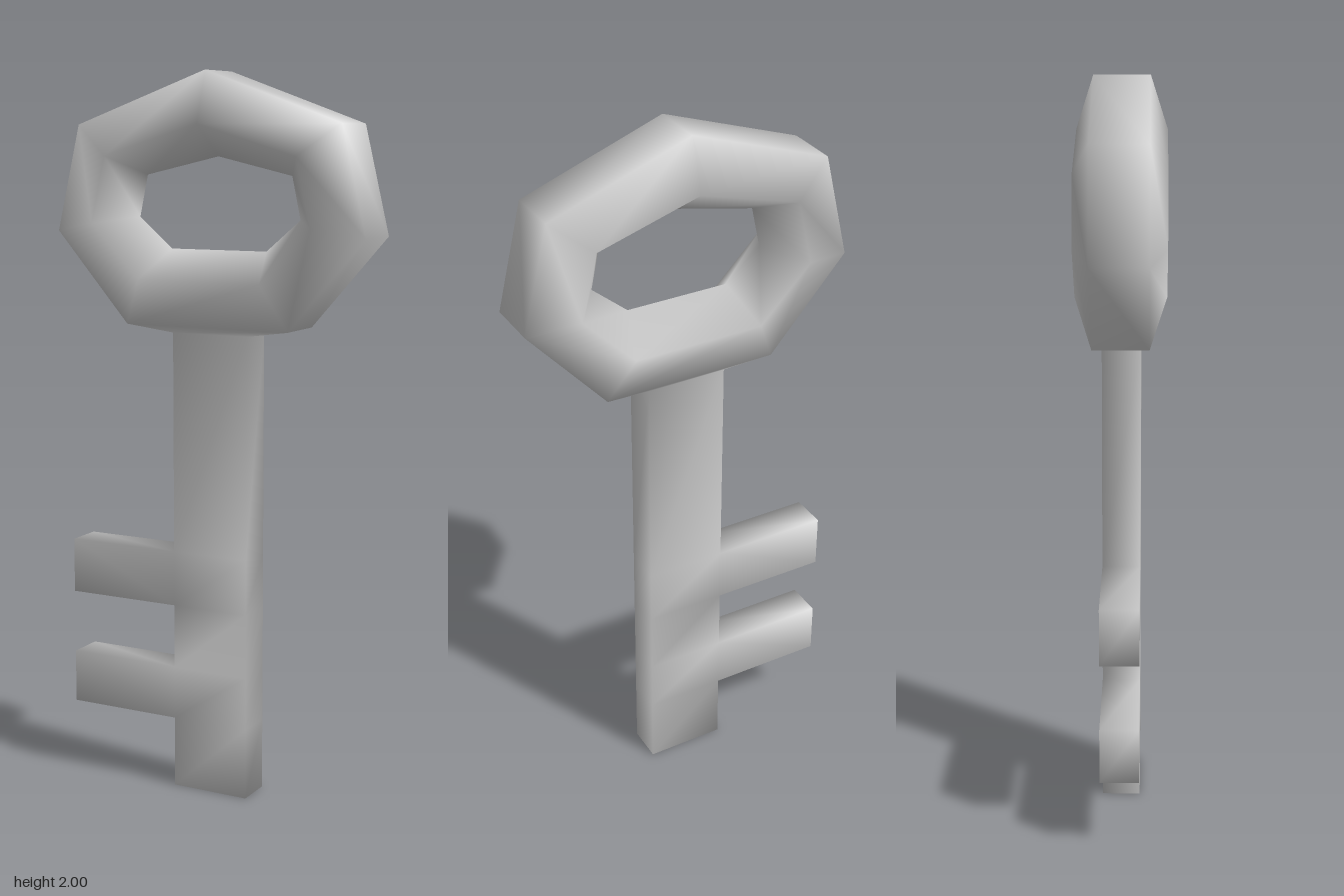
import * as THREE from 'three';
import { mergeVertices } from 'three/addons/utils/BufferGeometryUtils.js';

// The key is one welded smooth surface, cut into named parts that share normals.
export function createModel() {
  const group = new THREE.Group();
  group.name = 'key';
  const material = new THREE.MeshStandardMaterial({ color: 0xcccccc });
  const positions = [];
  const quad = (a, b, c, d) => positions.push(...a, ...b, ...c, ...a, ...c, ...d);

  // Joins two loops of equal length, leaving out the side numbered skip
  const loft = (from, to, skip = -1) => from.forEach((p, k) => {
    const n = (k + 1) % from.length;
    if (k !== skip) quad(p, from[n], to[n], to[k]);
  });

  const ranges = [];
  const part = (name, build) => {
    const start = positions.length / 3;
    build();
    ranges.push([name, start, positions.length / 3]);
  };

  const W = 0.113, D = 0.052; // half width and half depth of the shaft
  const rect = (y, hx, hz) => [[-hx, y, hz], [hx, y, hz], [hx, y, -hz], [-hx, y, -hz]];

  // Seven-sided ring with a five-sided cross-section
  part('bow', () => {
    const outer = [[0, 2], [-0.395, 1.86], [-0.465, 1.57], [-0.245, 1.32],
      [0.245, 1.32], [0.465, 1.57], [0.395, 1.86]];
    const inner = [[0, 1.775], [-0.22, 1.725], [-0.245, 1.61], [-0.145, 1.525],
      [0.145, 1.525], [0.245, 1.61], [0.22, 1.725]];
    const profile = [[0, -0.075], [0, 0.075], [0.62, 0.12], [1, 0], [0.62, -0.12]];
    const sections = outer.map(([x, y], i) => profile.map(([t, z]) =>
      [x + (inner[i][0] - x) * t, y + (inner[i][1] - y) * t, z]));
    // The lowest outer face is left open for the collar
    sections.forEach((s, i) => loft(s, sections[(i + 1) % 7], i === 3 ? 0 : -1));
    // loft runs side-first, so the ring's faces are wound along the path below
  });
  // Turn the ring's faces outward: swap the last two corners of each triangle
  for (let i = 0; i < positions.length; i += 9) {
    const second = positions.slice(i + 3, i + 6);
    for (let j = 0; j < 3; j++) {
      positions[i + 3 + j] = positions[i + 6 + j];
      positions[i + 6 + j] = second[j];
    }
  }

  // Flared joint between shaft and bow
  part('collar', () => loft(rect(1.3, W, D), rect(1.32, 0.245, 0.075)));

  // Straight shaft, open on its right where the teeth grow out
  const levels = [0, 0.2, 0.35, 0.53, 0.685, 1.3];
  part('shaft', () => {
    quad(...rect(0, W, D).reverse());
    for (let i = 0; i < 5; i++) {
      loft(rect(levels[i], W, D), rect(levels[i + 1], W, D), i % 2 ? 3 : -1);
    }
  });

  // Two square teeth
  const toothLoop = (x, y0, y1) => [[x, y0, -D], [x, y0, D], [x, y1, D], [x, y1, -D]];
  [['lowerTooth', 1], ['upperTooth', 3]].forEach(([name, i]) => part(name, () => {
    const tip = toothLoop(-0.445, levels[i], levels[i + 1]);
    loft(toothLoop(-W, levels[i], levels[i + 1]), tip);
    quad(...tip);
  }));

  // Weld everything, smooth it, then split the index into the parts
  const soup = new THREE.BufferGeometry();
  soup.setAttribute('position', new THREE.Float32BufferAttribute(positions, 3));
  const welded = mergeVertices(soup);
  welded.computeVertexNormals();
  const index = Array.from(welded.index.array);
  for (const [name, start, end] of ranges) {
    const geometry = welded.clone();
    geometry.setIndex(index.slice(start, end));
    const mesh = new THREE.Mesh(geometry, material);
    mesh.name = name;
    group.add(mesh);
  }
  return group;
}
